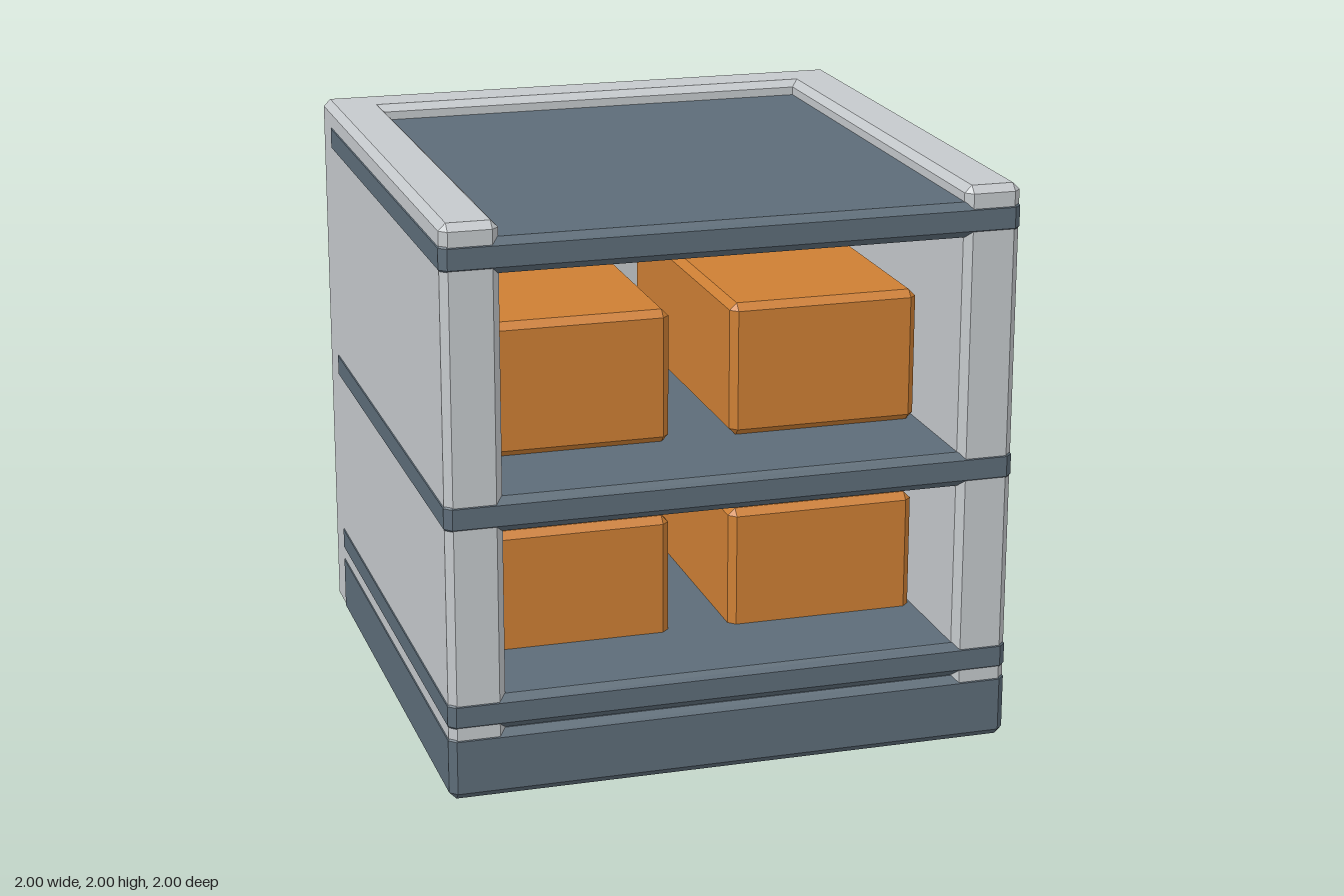
import * as THREE from 'three';
import { ConvexGeometry } from 'three/addons/geometries/ConvexGeometry.js';

const material = (name, color) => {
  const m = new THREE.MeshStandardMaterial({ color });
  m.name = name;
  return m;
};

// Box between two corners with every edge cut at 45 degrees
function chamferBox([x0, y0, z0], [x1, y1, z1], c = 0.025) {
  const half = [(x1 - x0) / 2, (y1 - y0) / 2, (z1 - z0) / 2];
  const points = [];
  for (let face = 0; face < 3; face++)
    for (const sx of [-1, 1])
      for (const sy of [-1, 1])
        for (const sz of [-1, 1]) {
          const p = [sx, sy, sz].map((s, i) => s * (half[i] - (i === face ? 0 : c)));
          points.push(new THREE.Vector3(...p));
        }
  const geometry = new ConvexGeometry(points);
  geometry.translate((x0 + x1) / 2, (y0 + y1) / 2, (z0 + z1) / 2);
  return geometry;
}

export function createModel() {
  const group = new THREE.Group();
  group.name = 'storageRack';

  const gray = material('light gray', 0xc5c9cc);
  const slate = material('slate', 0x5d6c78);
  const orange = material('orange', 0xcd7f34);

  const add = (name, geometry, mat) => {
    const mesh = new THREE.Mesh(geometry, mat);
    mesh.name = name;
    group.add(mesh);
  };

  // Outer shell: side walls sit a hair inside the shelf ends so the bands stay clean
  const edge = 0.997;
  add('leftWall', chamferBox([0.8, 0.003, -1], [edge, 2, edge]), gray);
  add('rightWall', chamferBox([-edge, 0.003, -1], [-0.8, 2, edge]), gray);
  add('backWall', chamferBox([-edge, 0.003, -1], [edge, 2, -0.805]), gray);

  // Plinth, with its underside running to the back
  add('base', chamferBox([-1, 0, -0.855], [1, 0.24, 1]), slate);
  add('baseUnderside', chamferBox([-0.975, 0, -0.975], [0.975, 0.012, 0.9], 0.002), slate);

  // Shelves pass through the walls and show as bands on the sides
  const shelves = { lowerShelf: 0.242, middleShelf: 0.943, topShelf: 1.823 };
  for (const [name, y] of Object.entries(shelves))
    add(name, chamferBox([-1, y, -0.855], [1, y + 0.122, 1]), slate);

  // Two crates on each of the lower shelves
  for (const [row, y] of [['lower', 0.315], ['upper', 1.063]])
    for (const [side, x] of [['Left', 0.448], ['Right', -0.452]])
      add(`${row}${side}Crate`,
        chamferBox([x - 0.34, y, -0.6], [x + 0.34, y + 0.477, 0.6]), orange);

  return group;
}
